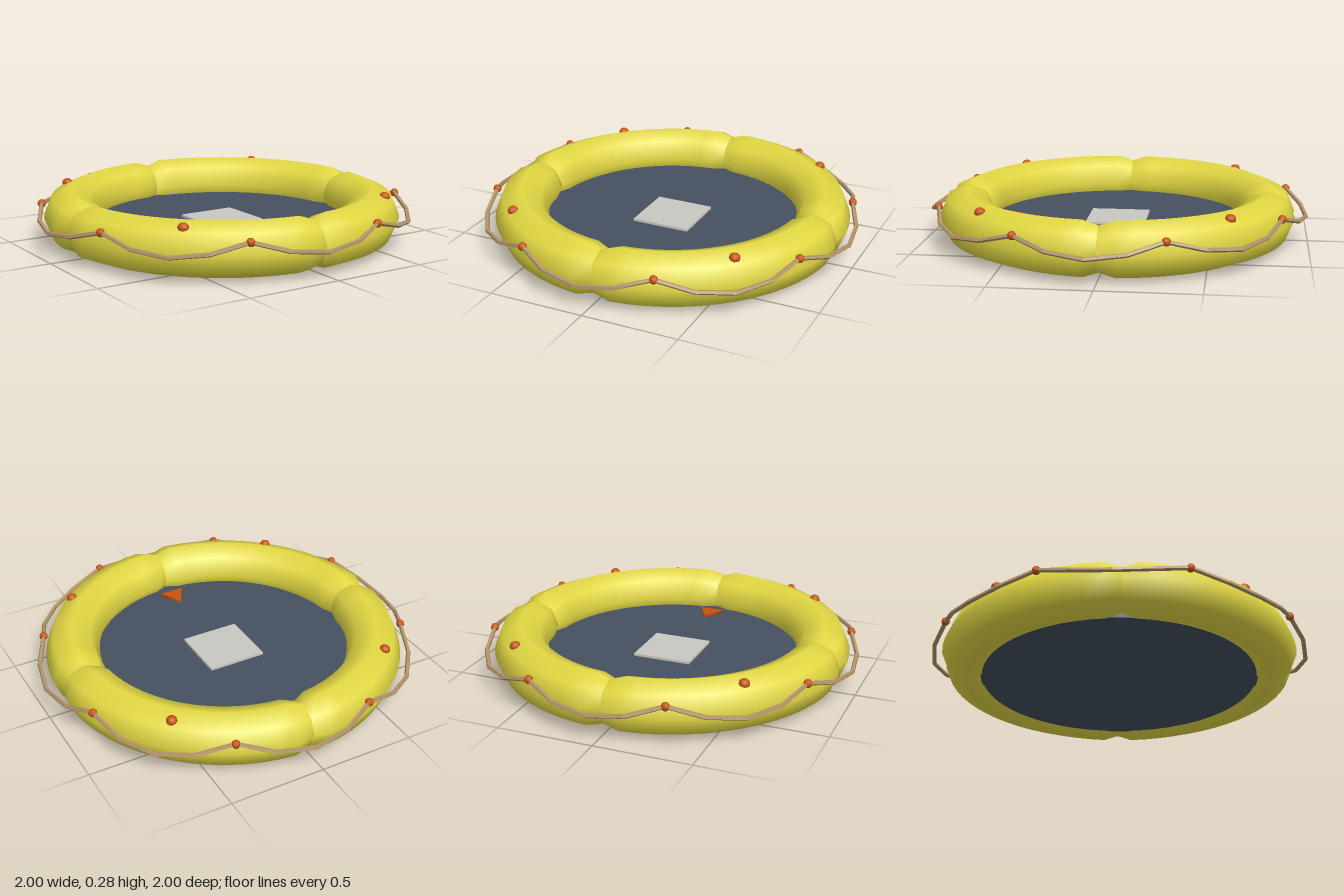
import * as THREE from 'three';

const RING = 0.795, TUBE = 0.14, MID_Y = 0.14;
const CLIP_START = THREE.MathUtils.degToRad(20);

// Point at an angle around the raft, measured from the front towards +x
const polar = (angle, radius, y) =>
  new THREE.Vector3(Math.sin(angle) * radius, y, Math.cos(angle) * radius);

// Quarter of the inflated ring, pinched at both ends
function quarterTube(start) {
  const steps = 16, sides = 8, positions = [], index = [];
  for (let i = 0; i <= steps; i++) {
    const angle = start + (i / steps) * Math.PI / 2;
    const r = i === 0 || i === steps ? 0.114 : TUBE;
    for (let j = 0; j < sides; j++) {
      const b = (j / sides) * Math.PI * 2;
      const p = polar(angle, RING + r * Math.cos(b), MID_Y + r * Math.sin(b));
      positions.push(p.x, p.y, p.z);
      if (i < steps) {
        const a0 = i * sides + j, a1 = i * sides + (j + 1) % sides;
        index.push(a0, a0 + sides, a1 + sides, a0, a1 + sides, a1);
      }
    }
  }
  const geometry = new THREE.BufferGeometry();
  geometry.setAttribute('position', new THREE.Float32BufferAttribute(positions, 3));
  geometry.setIndex(index);
  geometry.computeVertexNormals();
  return geometry;
}

// Grab line that droops outwards between eight clips
class RopePath extends THREE.Curve {
  getPoint(t, target = new THREE.Vector3()) {
    const sag = Math.abs(Math.sin(t * 8 * Math.PI));
    return target.copy(polar(CLIP_START + t * Math.PI * 2, 0.945 + 0.043 * sag, 0.21 - 0.068 * sag));
  }
}

export function createModel() {
  const raft = new THREE.Group();
  raft.name = 'lifeRaft';

  const material = (name, color, flatShading = false) => {
    const m = new THREE.MeshStandardMaterial({ color, flatShading });
    m.name = name;
    return m;
  };
  const yellow = material('yellow rubber', 0xe2d843);
  const navy = material('dark floor fabric', 0x45505f);
  const grey = material('pale grey patch', 0xc9c7c0);
  const orange = material('orange fittings', 0xc4540f);
  const tan = material('tan rope', 0xb2946a, true);

  const add = (name, geometry, mat, x = 0, y = 0, z = 0) => {
    const mesh = new THREE.Mesh(geometry, mat);
    mesh.name = name;
    mesh.position.set(x, y, z);
    raft.add(mesh);
    return mesh;
  };

  // Inflated ring and valves, one of each per quarter
  const valve = new THREE.SphereGeometry(0.028, 10, 8);
  for (let i = 0; i < 4; i++) {
    const start = i * Math.PI / 2;
    add('tubeSection', quarterTube(start), yellow);
    const p = polar(start + Math.PI / 4, 0.858, 0.255);
    add('valve', valve, orange, p.x, p.y, p.z).scale.y = 0.9;
  }

  // Floor with central patch and arrow marker
  add('floor', new THREE.CylinderGeometry(0.73, 0.73, 0.065, 48), navy, 0, 0.0625, 0);
  add('floorPatch', new THREE.BoxGeometry(0.31, 0.016, 0.31), grey, 0, 0.1, 0);
  const arrow = new THREE.CylinderGeometry(0.08, 0.08, 0.016, 3);
  add('arrowMarker', arrow, orange, 0, 0.1, 0.582).rotation.y = Math.PI;

  // Grab line and its clips
  add('grabLine', new THREE.TubeGeometry(new RopePath(), 32, 0.012, 5, true), tan);
  const clip = new THREE.SphereGeometry(0.022, 8, 6);
  for (let i = 0; i < 8; i++) {
    const p = polar(CLIP_START + i * Math.PI / 4, 0.945, 0.21);
    add('ropeClip', clip, orange, p.x, p.y, p.z);
  }

  return raft;
}
